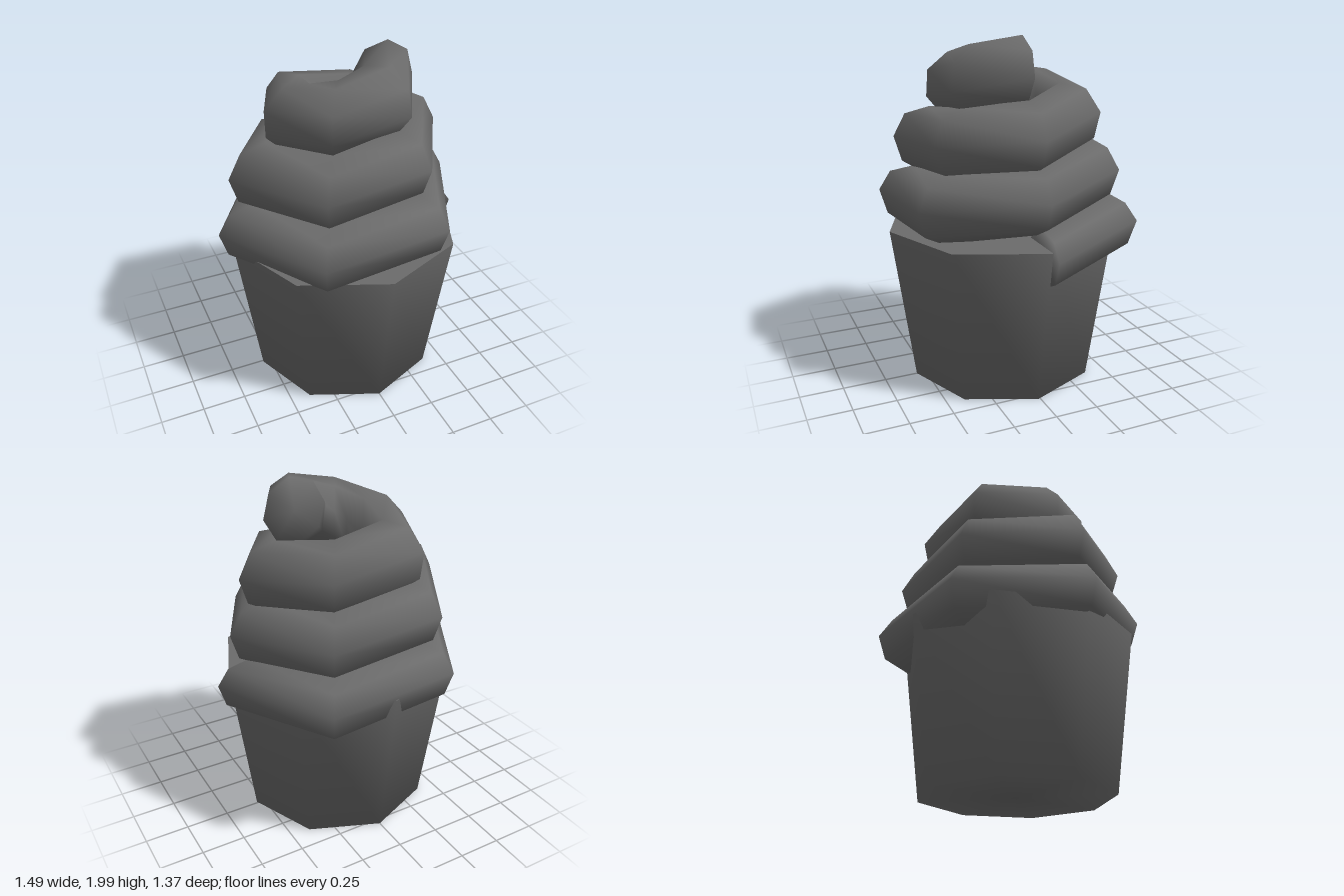
import * as THREE from 'three';

const material = new THREE.MeshStandardMaterial({ color: 0x6b6b6b });

const SIDES = 8;
const STEPS_PER_TURN = 6;

// Outer reach of the frosting at every sixth of a turn, for three turns
const REACH = [
  0.745, 0.79, 0.756, 0.75, 0.744, 0.718,
  0.655, 0.675, 0.667, 0.667, 0.643, 0.585,
  0.585, 0.56, 0.55, 0.46, 0.45, 0.45, 0.43,
];
// Height of the frosting's centre line at every half turn
const HEIGHT = [0.868, 0.995, 1.15, 1.325, 1.465, 1.63, 1.81];
const LAST = REACH.length - 1;

// Centre line, thickness and roll of the frosting at one step
function frostingStep(k) {
  const half = Math.min(Math.floor(k / 3), HEIGHT.length - 2);
  const thickness = k === 0 || k === LAST ? 0.185 : 0.2;
  return {
    angle: (k / STEPS_PER_TURN) * Math.PI * 2,
    centre: REACH[k] - thickness,
    y: THREE.MathUtils.lerp(HEIGHT[half], HEIGHT[half + 1], k / 3 - half),
    thickness,
    topHeight: thickness * Math.min(1, 0.75 + k / 36),
    roll: 0.09 + 0.56 * Math.max(0, (k - 12) / 6),
  };
}

// Eight-sided tube swept along a rising six-cornered spiral, with softly shaded ends
function frostingGeometry() {
  const positions = [];
  const index = [];
  for (let k = 0; k <= LAST; k++) {
    const s = frostingStep(k);
    for (let j = 0; j < SIDES; j++) {
      const phi = (j / SIDES) * Math.PI * 2 + s.roll;
      const r = s.centre + s.thickness * Math.cos(phi);
      const rise = Math.sin(phi) * (Math.sin(phi) > 0 ? s.topHeight : s.thickness);
      positions.push(r * Math.cos(s.angle), s.y + rise, -r * Math.sin(s.angle));
      if (k < LAST) {
        const a = k * SIDES + j;
        const b = k * SIDES + (j + 1) % SIDES;
        index.push(a, a + SIDES, b, b, a + SIDES, b + SIDES);
      }
    }
  }
  // Fans closing both ends
  for (const k of [0, LAST]) {
    const s = frostingStep(k);
    const middle = positions.length / 3;
    positions.push(s.centre, s.y, 0);
    for (let j = 0; j < SIDES; j++) {
      const a = k * SIDES + j;
      const b = k * SIDES + (j + 1) % SIDES;
      if (k === 0) index.push(middle, a, b);
      else index.push(middle, b, a);
    }
  }
  const geometry = new THREE.BufferGeometry();
  geometry.setAttribute('position', new THREE.Float32BufferAttribute(positions, 3));
  geometry.setIndex(index);
  geometry.computeVertexNormals();
  return geometry;
}

export function createModel() {
  const model = new THREE.Group();
  model.name = 'cupcake';

  // Eight-sided tapered cup with a closed base
  const profile = [[0, 0], [0.548, 0], [0.676, 0.915]].map(([x, y]) => new THREE.Vector2(x, y));
  const cup = new THREE.Mesh(new THREE.LatheGeometry(profile, 8), material);
  cup.position.z = 0.01;
  cup.name = 'cup';
  model.add(cup);

  // Flat top of the cake inside the cup
  const cakeTop = new THREE.Mesh(new THREE.CircleGeometry(0.676, 8), material);
  cakeTop.rotation.x = -Math.PI / 2;
  cakeTop.position.set(0, 0.915, 0.01);
  cakeTop.name = 'cakeTop';
  model.add(cakeTop);

  // Swirled frosting
  const frosting = new THREE.Mesh(frostingGeometry(), material);
  frosting.name = 'frosting';
  model.add(frosting);

  return model;
}
